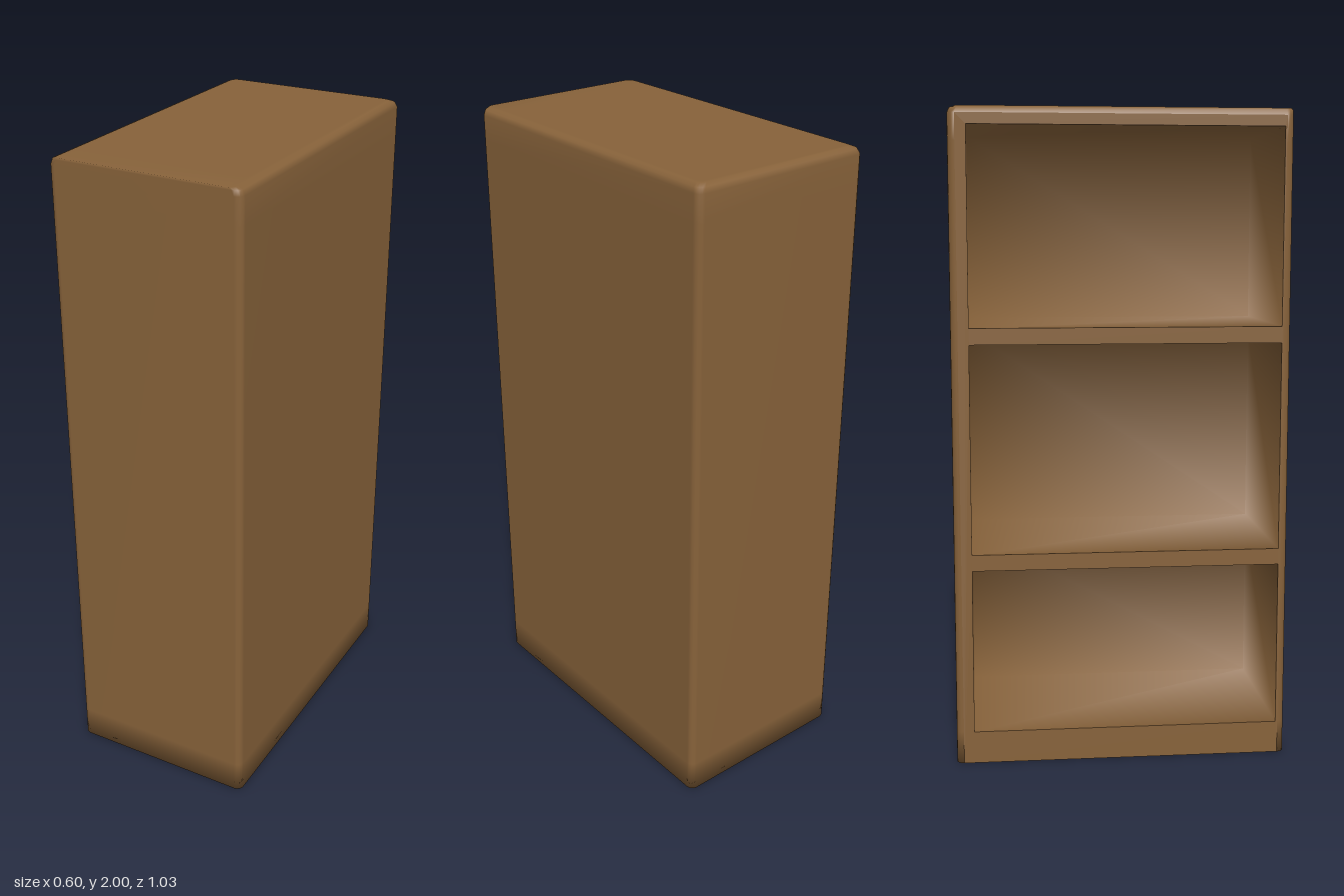
import * as THREE from 'three';
import { mergeVertices } from 'three/addons/utils/BufferGeometryUtils.js';

const X = 0.3, Z = 0.515, H = 2, R = 0.022, CORNER = 4;
const BACK = -0.46, FRONT = 0.487, INNER = 0.23;
// floor and ceiling height of each compartment
const BAYS = [[0.1, 0.61], [0.66, 1.3], [1.35, 1.945]];

// Rounded rectangle at height y; the front edge has its own inset.
function ring(y, inset, frontInset) {
  const points = [];
  [[-1, 1, 180], [1, 1, 90], [1, -1, 0], [-1, -1, -90]].forEach(([sx, sz, start]) => {
    const cx = sx * (X - inset - R);
    const cz = sz * (Z - (sz > 0 ? frontInset : inset) - R);
    for (let i = 0; i <= CORNER; i++) {
      const a = THREE.MathUtils.degToRad(start - (90 * i) / CORNER);
      points.push([cx + R * Math.cos(a), y, cz + R * Math.sin(a)]);
    }
  });
  return points;
}

// Smooth outer shell; its open side is left free below the top edge.
function shellGeometry() {
  const rings = [
    ring(0, 0, 0), ring(0.1, 0, 0), ring(1.9, 0, 0), ring(H - R, 0, 0),
    ring(H - R * 0.3, R * 0.3, 0), ring(H, R, 0), ring(H, R + 0.01, 0.09),
  ];
  const n = rings[0].length, index = [];
  for (let k = 0; k < rings.length - 1; k++) {
    const count = k < 3 ? n - 1 : n;
    for (let i = 0; i < count; i++) {
      const a = k * n + i, b = k * n + ((i + 1) % n);
      index.push(a, b, b + n, a, b + n, a + n);
    }
  }
  const base = rings.length * n, last = base - n;
  for (let i = 0; i < n; i++) {
    const j = (i + 1) % n;
    index.push(j, i, base); // underside
    index.push(last + i, last + j, base + 1); // top
  }
  const positions = [...rings.flat(2), 0, 0, 0, 0, H, 0];
  const geometry = new THREE.BufferGeometry();
  geometry.setAttribute('position', new THREE.Float32BufferAttribute(positions, 3));
  geometry.setIndex(index);
  geometry.computeVertexNormals();
  return geometry;
}

// Flat frame around the openings.
function frameGeometry() {
  const rect = (target, z0, z1, y0, y1) =>
    target.moveTo(z0, y0).lineTo(z1, y0).lineTo(z1, y1).lineTo(z0, y1).closePath();
  const shape = rect(new THREE.Shape(), -Z + R, Z - R, 0, H - R);
  BAYS.forEach(([y0, y1]) => shape.holes.push(rect(new THREE.Path(), BACK, FRONT, y0, y1)));
  return new THREE.ShapeGeometry(shape).rotateY(-Math.PI / 2).translate(-X, 0, 0);
}

// Inward-facing box without its -x side, smoothly shaded.
function bayGeometry(y0, y1) {
  let geometry = new THREE.BoxGeometry(INNER + X, y1 - y0, FRONT - BACK);
  geometry.translate((INNER - X) / 2, (y0 + y1) / 2, (FRONT + BACK) / 2);
  geometry.deleteAttribute('normal');
  geometry.deleteAttribute('uv');
  const index = Array.from(geometry.index.array);
  index.splice(6, 6);
  geometry.setIndex(index.reverse());
  geometry.clearGroups();
  geometry = mergeVertices(geometry);
  geometry.computeVertexNormals();
  return geometry;
}

export function createModel() {
  const wood = new THREE.MeshStandardMaterial({ color: 0x87623a });
  wood.name = 'brown wood';
  const group = new THREE.Group();
  group.name = 'bookcase';
  const add = (name, geometry) => {
    const mesh = new THREE.Mesh(geometry, wood);
    mesh.name = name;
    group.add(mesh);
  };
  add('outerShell', shellGeometry());
  add('shelfFrame', frameGeometry());
  BAYS.forEach(([y0, y1], i) => add(`compartment${i + 1}`, bayGeometry(y0, y1)));
  return group;
}
